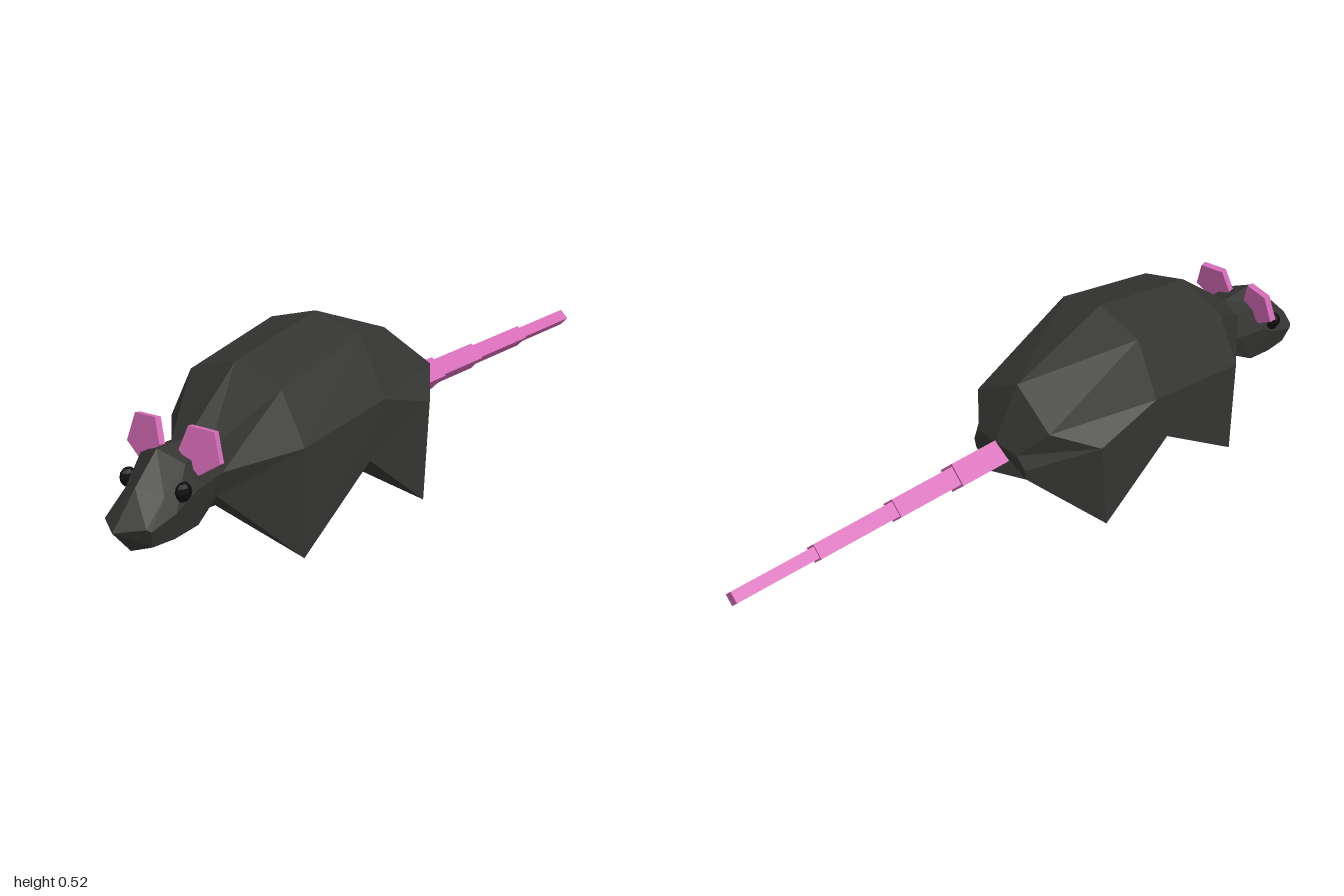
import * as THREE from 'three';

const mat = (color) => new THREE.MeshStandardMaterial({ color, flatShading: true });
const fur = mat(0x343432), skin = mat(0xd66cb8), black = mat(0x0c0c0c);

// Skin over half cross-sections (top to bottom on the +x side), mirrored across x = 0
function loft(sections) {
  const rings = sections.map((half) => [
    ...half,
    ...half.slice(1, -1).reverse().map(([x, y, z]) => [-x, y, z]),
  ]);
  const n = rings[0].length, pos = [];
  const tri = (...points) => points.forEach((p) => pos.push(...p));
  for (let i = 0; i < rings.length - 1; i++) {
    for (let j = 0; j < n; j++) {
      const k = (j + 1) % n;
      const a = rings[i][j], b = rings[i][k], c = rings[i + 1][k], d = rings[i + 1][j];
      // Diagonals mirror so both sides match
      if (j < n / 2) { tri(a, b, d); tri(b, c, d); }
      else { tri(a, b, c); tri(a, c, d); }
    }
  }
  const front = rings[0], back = rings[rings.length - 1];
  for (let j = 1; j < n - 1; j++) {
    tri(front[0], front[j + 1], front[j]);
    tri(back[0], back[j], back[j + 1]);
  }
  const geo = new THREE.BufferGeometry();
  geo.setAttribute('position', new THREE.Float32BufferAttribute(pos, 3));
  geo.computeVertexNormals();
  return geo;
}

export function createModel() {
  const group = new THREE.Group();
  const add = (name, geo, material) => {
    const mesh = new THREE.Mesh(geo, material);
    mesh.name = name;
    group.add(mesh);
    return mesh;
  };

  const neck = [[0, 0.32, 0.73], [0.06, 0.3, 0.72], [0.08, 0.24, 0.7], [0.06, 0.175, 0.7], [0, 0.165, 0.7]];

  // Head: snout, muzzle, brow, neck
  add('head', loft([
    [[0, 0.163, 1], [0.065, 0.172, 0.955], [0.072, 0.165, 0.945], [0.06, 0.12, 0.93], [0, 0.1, 0.94]],
    [[0, 0.25, 0.918], [0.06, 0.23, 0.885], [0.083, 0.19, 0.87], [0.067, 0.12, 0.86], [0, 0.103, 0.86]],
    [[0, 0.325, 0.84], [0.07, 0.295, 0.82], [0.09, 0.23, 0.8], [0.07, 0.13, 0.78], [0, 0.107, 0.78]],
    neck,
  ]), fur);

  // Body: neck, front feet, waist, hind feet, rump
  add('body', loft([
    neck,
    [[0, 0.465, 0.55], [0.143, 0.42, 0.55], [0.212, 0.285, 0.55], [0.207, 0, 0.55], [0, 0.115, 0.55]],
    [[0, 0.52, 0.23], [0.143, 0.48, 0.23], [0.218, 0.325, 0.23], [0.212, 0.175, 0.285], [0, 0.175, 0.285]],
    [[0, 0.405, -0.07], [0.14, 0.325, -0.085], [0.218, 0.265, 0.03], [0.217, 0, 0.055], [0, 0.115, 0.055]],
    [[0, 0.26, -0.15], [0.075, 0.25, -0.14], [0.1, 0.21, -0.135], [0.1, 0.18, -0.13], [0, 0.175, -0.17]],
  ]), fur);

  for (const [side, s] of [['left', 1], ['right', -1]]) {
    // Five-sided ear plate, leaning back
    const outline = [[-0.036, 0.052], [-0.058, -0.01], [0.002, -0.062], [0.059, -0.024], [0.037, 0.049]];
    const shape = new THREE.Shape(outline.map(([x, y]) => new THREE.Vector2(x * s, y)));
    const plate = new THREE.ExtrudeGeometry(shape, { depth: 0.018, bevelEnabled: false });
    plate.translate(0, 0, -0.009);
    const ear = add(side + 'Ear', plate, skin);
    ear.position.set(s * 0.086, 0.323, 0.78);
    ear.rotation.set(-0.15, s * 0.13, 0);

    const eye = add(side + 'Eye', new THREE.SphereGeometry(0.025, 8, 6), black);
    eye.scale.x = 0.65;
    eye.position.set(s * 0.087, 0.238, 0.848);
  }

  // Tail: stepped diamond-section segments, each [start z, end z, radius]
  const tail = [[-0.14, -0.3, 0.046], [-0.3, -0.5, 0.037], [-0.5, -0.75, 0.03], [-0.75, -1, 0.023]];
  tail.forEach(([z0, z1, r], i) => {
    const geo = new THREE.CylinderGeometry(r, r, z0 - z1, 4);
    geo.rotateX(Math.PI / 2);
    add('tailSegment' + (i + 1), geo, skin).position.set(0, 0.218, (z0 + z1) / 2);
  });

  return group;
}
